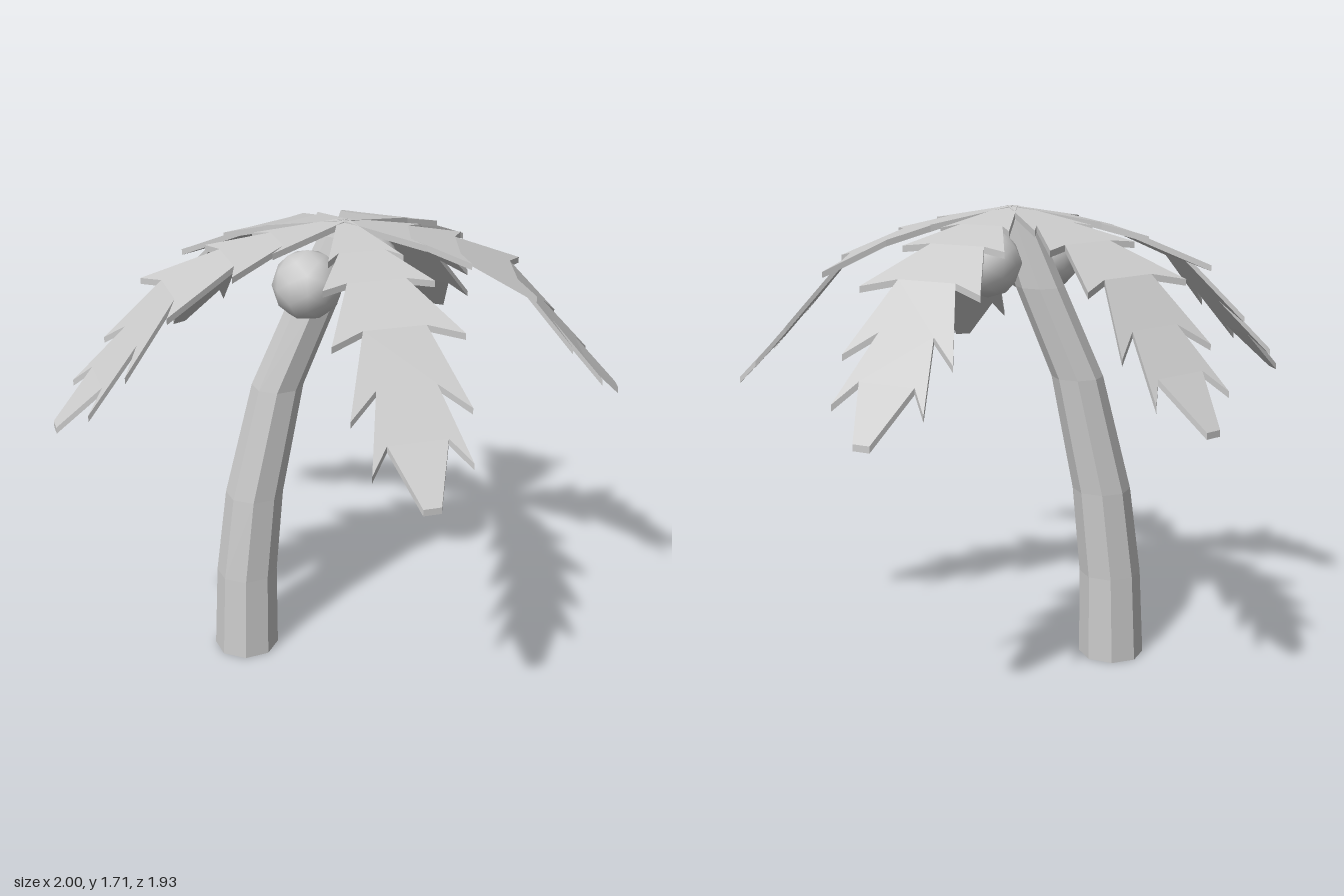
import * as THREE from 'three';
import { mergeGeometries } from 'three/addons/utils/BufferGeometryUtils.js';

const flat = new THREE.MeshStandardMaterial({ color: 0xcccccc, flatShading: true });
const smooth = new THREE.MeshStandardMaterial({ color: 0xcccccc });

// Curved eight-sided trunk: [y, centre x, centre z, radius] for each ring
function trunkGeometry() {
  const rings = [
    [0, -0.38, 0.01, 0.122], [0.33, -0.37, 0.007, 0.114], [0.66, -0.333, 0, 0.107],
    [1.09, -0.238, -0.012, 0.094], [1.42, -0.1, -0.01, 0.088], [1.66, -0.01, 0, 0.07],
  ];
  const sides = 8;
  const geo = new THREE.CylinderGeometry(1, 1, 1, sides, rings.length - 1);
  const p = geo.attributes.position;
  for (let i = 0; i < p.count; i++) {
    const [y, cx, cz, r] = rings[Math.round((p.getY(i) + 0.5) * (rings.length - 1))];
    p.setXYZ(i, cx + p.getX(i) * r, y, cz + p.getZ(i) * r);
  }
  geo.computeVertexNormals();
  return geo;
}

// Drooping frond: flat toothed plates joined along a bent spine
function frondGeometry() {
  const thickness = 0.022;
  // [distance, height, half width] at each notch
  const spine = [
    [0, 1.705, 0.02], [0.23, 1.66, 0.08], [0.4, 1.612, 0.1], [0.6, 1.52, 0.105],
    [0.73, 1.37, 0.1], [0.85, 1.235, 0.1], [1, 1.08, 0.03],
  ];
  // [distance, half width] of the tooth ending each plate
  const teeth = [[0.28, 0.13], [0.43, 0.19], [0.65, 0.22], [0.79, 0.2], [0.91, 0.165]];
  const plates = [];
  for (let i = 0; i < spine.length - 1; i++) {
    const [r0, y0, w0] = spine[i];
    const [r1, y1, w1] = spine[i + 1];
    const side = [[r0, w0], ...(teeth[i] ? [teeth[i]] : []), [r1, w1]];
    const outline = [...side, ...side.map(([r, w]) => [r, -w]).reverse()];
    const shape = new THREE.Shape(outline.map(([r, w]) => new THREE.Vector2(r, w)));
    const geo = new THREE.ExtrudeGeometry(shape, { depth: thickness, bevelEnabled: false });
    geo.rotateX(-Math.PI / 2);
    const p = geo.attributes.position;
    for (let k = 0; k < p.count; k++) {
      const t = (p.getX(k) - r0) / (r1 - r0);
      p.setY(k, p.getY(k) - thickness + y0 + (y1 - y0) * t);
    }
    geo.computeVertexNormals();
    plates.push(geo);
  }
  return mergeGeometries(plates);
}

export function createModel() {
  const group = new THREE.Group();
  group.name = 'palmTree';
  const add = (geo, mat, name) => {
    const mesh = new THREE.Mesh(geo, mat);
    mesh.name = name;
    group.add(mesh);
    return mesh;
  };

  add(trunkGeometry(), flat, 'trunk');

  // Fronds: [heading in degrees from +x towards +z, length]
  const frond = frondGeometry();
  [[0, 1], [75.5, 0.985], [163, 1.04], [229, 1], [294, 1.045]].forEach(([deg, length], i) => {
    const mesh = add(frond, flat, `frond${i + 1}`);
    mesh.rotation.y = -THREE.MathUtils.degToRad(deg);
    mesh.scale.x = length;
  });

  // Coconuts on opposite sides of the trunk top
  const nut = new THREE.IcosahedronGeometry(0.123, 1);
  add(nut, smooth, 'frontCoconut').position.set(-0.125, 1.512, 0.12);
  add(nut, smooth, 'backCoconut').position.set(0.085, 1.512, -0.09);

  return group;
}
